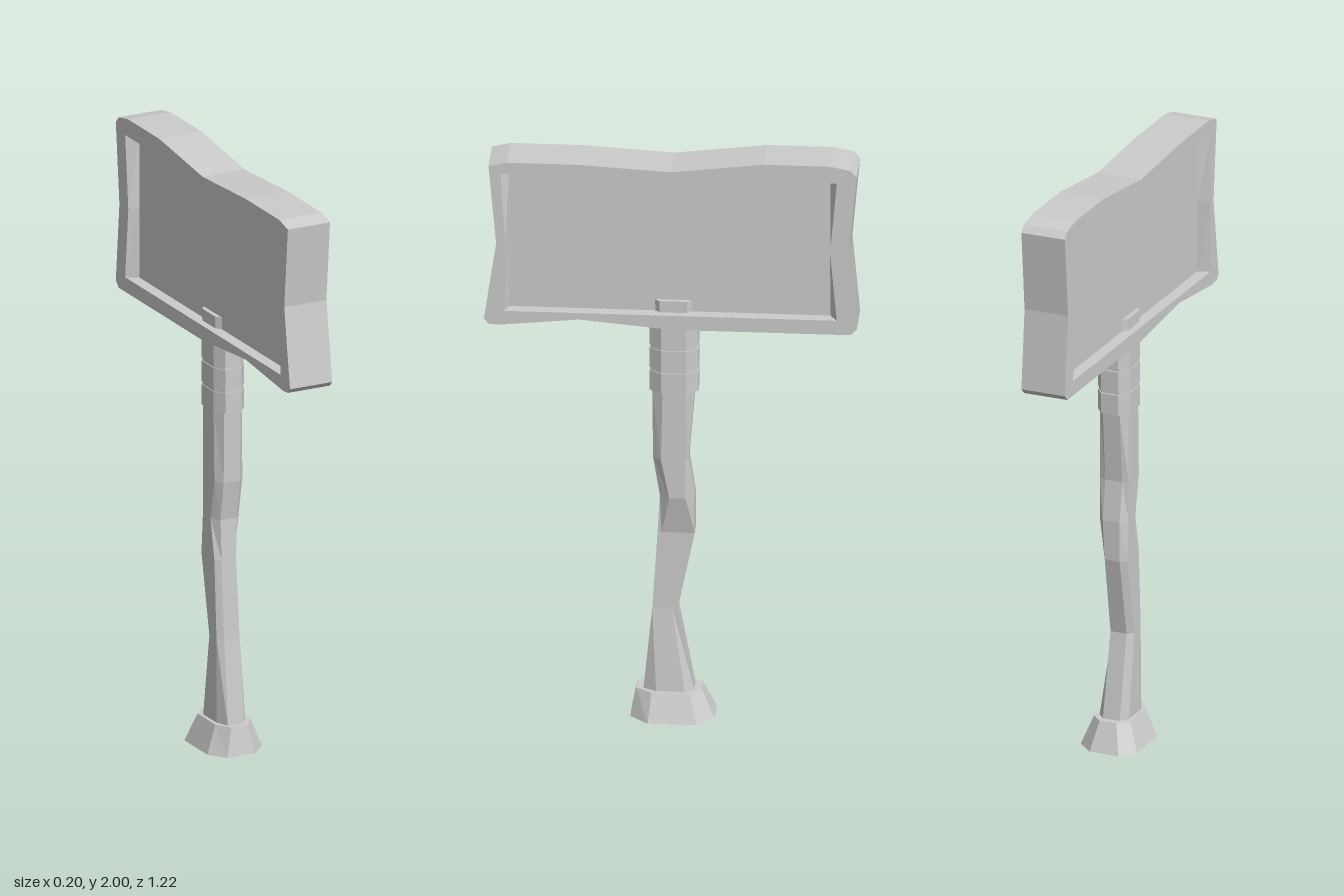
import * as THREE from 'three';

const material = new THREE.MeshStandardMaterial({ color: 0xcccccc, flatShading: true });

function addMesh(group, name, geometry) {
  const mesh = new THREE.Mesh(geometry, material);
  mesh.name = name;
  group.add(mesh);
}

// Octagonal cross-section: front/back z reach, z ends of the side faces, x reach and x ends of the front faces
function octagon(y, xRight, xLeft, zFront, zFrontIn, zBackIn, zBack, xIn = 0.025, xInLeft = -0.035) {
  const xi = Math.min(xIn, xRight);
  return [
    [xRight, zBackIn], [xRight, zFrontIn], [xi, zFront], [xInLeft, zFront],
    [xLeft, zFrontIn], [xLeft, zBackIn], [xInLeft, zBack], [xi, zBack],
  ].map(([x, z]) => new THREE.Vector3(x, y, z));
}

// Faceted skin through a stack of cross-sections, closed at both ends
function loft(rings) {
  const points = [];
  const n = rings[0].length;
  const top = rings[rings.length - 1];
  const centre = (ring) => ring.reduce((s, p) => s.add(p), new THREE.Vector3()).divideScalar(n);
  const low = centre(rings[0]), high = centre(top);
  for (let j = 0; j < n; j++) {
    const k = (j + 1) % n;
    for (let i = 0; i + 1 < rings.length; i++) {
      const a = rings[i][j], b = rings[i][k], c = rings[i + 1][k], d = rings[i + 1][j];
      points.push(a, d, c, a, c, b);
    }
    points.push(low, rings[0][j], rings[0][k], high, top[k], top[j]);
  }
  const geometry = new THREE.BufferGeometry().setFromPoints(points);
  geometry.computeVertexNormals();
  return geometry;
}

const toPoints = (list) => list.map(([z, y]) => new THREE.Vector2(z, y));

// Wavy board outline and recess opening, as (z, y)
const outline = toPoints([
  [0.595, 1.965], [0.535, 1.98], [0.3, 1.98], [0, 1.963], [-0.3, 2], [-0.52, 2],
  [-0.585, 1.987], [-0.605, 1.965], [-0.58, 1.69], [-0.605, 1.42], [-0.585, 1.4],
  [0, 1.4], [0.3, 1.427], [0.56, 1.4], [0.595, 1.403], [0.61, 1.42], [0.57, 1.69],
]);
const opening = toPoints([
  [0.557, 1.94], [0.54, 1.69], [0.545, 1.45], [-0.54, 1.45], [-0.518, 1.69], [-0.54, 1.94],
]);

// Slab of the board between two x positions
function slab(xMax, xMin, hollow, innerX) {
  const shape = new THREE.Shape(outline);
  if (hollow) shape.holes.push(new THREE.Path(opening));
  const geometry = new THREE.ExtrudeGeometry(shape, { depth: xMax - xMin, bevelEnabled: false });
  geometry.rotateY(-Math.PI / 2).translate(xMax, 0, 0);
  if (hollow) {
    // Slope the end walls of the recess in towards the floor
    const p = geometry.attributes.position;
    for (let i = 0; i < p.count; i++) {
      const y = p.getY(i), z = p.getZ(i);
      const onOpening = Math.abs(z) < 0.565 && y > 1.44 && y < 1.95;
      if (onOpening && Math.abs(p.getX(i) - innerX) < 1e-4) p.setZ(i, z > 0 ? 0.53 : -0.517);
    }
    geometry.computeVertexNormals();
  }
  return geometry;
}

export function createModel() {
  const model = new THREE.Group();
  model.name = 'signpost';

  // Flared foot
  addMesh(model, 'base', loft([
    octagon(0, 0.098, -0.102, 0.135, 0.075, -0.085, -0.14, 0.042, -0.06),
    octagon(0.095, 0.062, -0.067, 0.117, 0.065, -0.06, -0.097),
  ]));

  // Crooked wooden post, its top poking through the recess floor
  addMesh(model, 'post', loft([
    octagon(0.08, 0.051, -0.055, 0.095, 0.05, -0.045, -0.075),
    octagon(0.38, 0.022, -0.055, 0.065, 0.05, 0, -0.018),
    octagon(0.65, 0.018, -0.055, 0.048, 0.035, -0.055, -0.073),
    octagon(0.785, 0.048, -0.055, 0.04, 0.008, -0.045, -0.073),
    octagon(0.92, 0.048, -0.055, 0.062, 0.035, -0.045, -0.053),
    octagon(1.16, 0.048, -0.055, 0.065, 0.03, -0.045, -0.073),
    octagon(1.49, 0.05, -0.055, 0.065, 0.04, -0.05, -0.073),
  ]));

  // Three stacked collars under the board
  const collars = new THREE.Group();
  collars.name = 'collars';
  [[1.162, 1.232], [1.243, 1.313], [1.325, 1.41]].forEach(([y0, y1], i) => {
    addMesh(collars, 'collar' + (i + 1), loft([y0, y1].map((y) =>
      octagon(y, 0.054, -0.059, 0.074, 0.035, -0.047, -0.085))));
  });
  addMesh(collars, 'collarCore', loft([1.17, 1.4].map((y) =>
    octagon(y, 0.05, -0.056, 0.07, 0.035, -0.047, -0.078))));
  model.add(collars);

  // Board: solid panel with a raised frame on each side
  const board = new THREE.Group();
  board.name = 'board';
  addMesh(board, 'panel', slab(0.035, -0.04, false));
  addMesh(board, 'leftFrame', slab(0.075, 0.035, true, 0.035));
  addMesh(board, 'rightFrame', slab(-0.04, -0.08, true, -0.04));
  model.add(board);

  return model;
}
